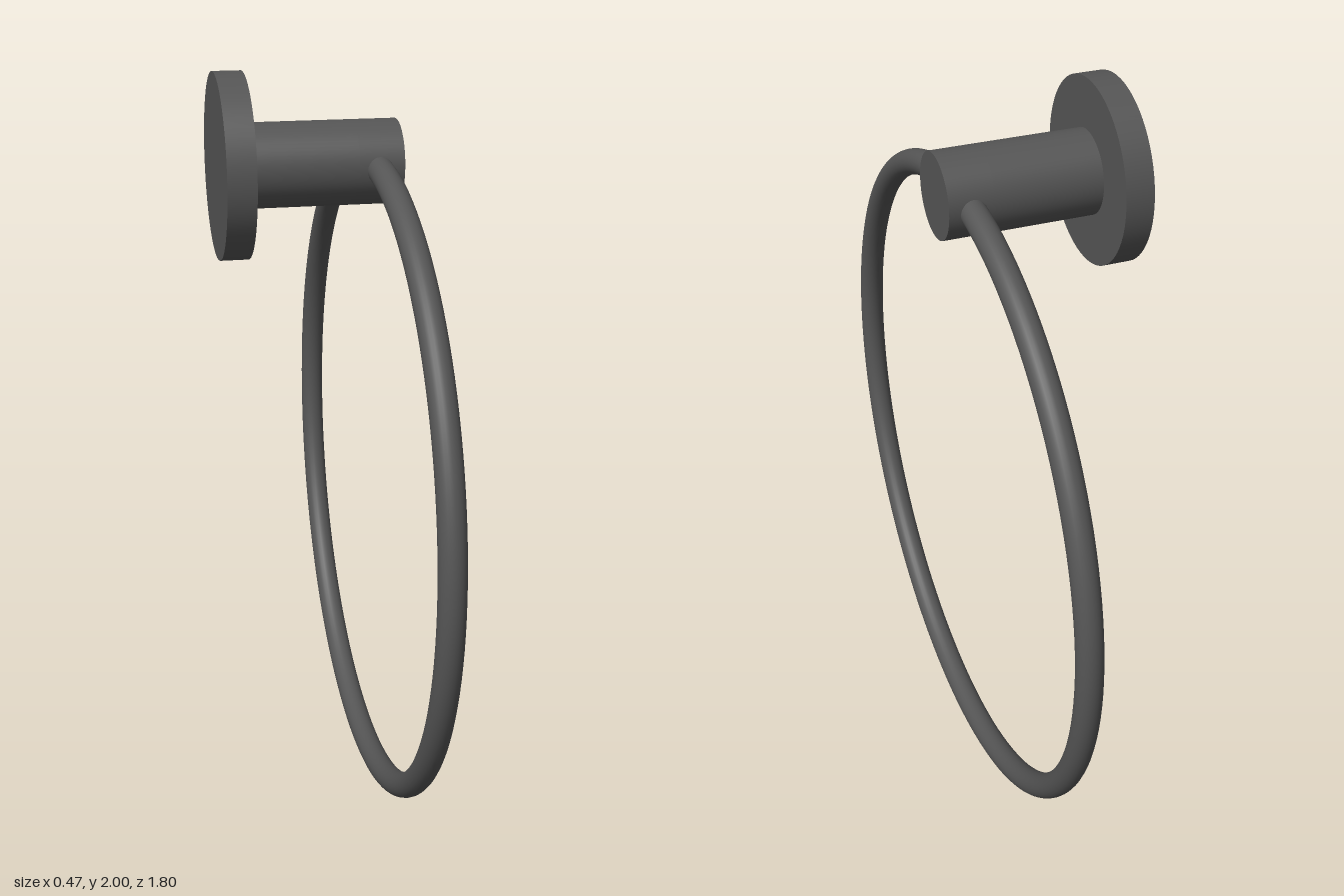
import * as THREE from 'three';

export function createModel() {
  const model = new THREE.Group();
  const metal = new THREE.MeshStandardMaterial({ color: 0x555555 });
  const axisY = 1.762, axisZ = -0.024;

  // Solid round part lying along x, between x0 and x1
  function roundPart(name, radius, x0, x1) {
    const geometry = new THREE.CylinderGeometry(radius, radius, x1 - x0, 64);
    geometry.rotateZ(-Math.PI / 2);
    const mesh = new THREE.Mesh(geometry, metal);
    mesh.name = name;
    mesh.position.set((x0 + x1) / 2, axisY, axisZ);
    model.add(mesh);
  }

  // Wall mount: plate, post and the end cap that grips the ring
  roundPart('wallPlate', 0.238, -0.237, -0.163);
  roundPart('post', 0.109, -0.163, 0.118);
  roundPart('endCap', 0.109, 0.118, 0.235);

  // Hanging ring, passing through the end cap
  const ring = new THREE.Mesh(new THREE.TorusGeometry(0.864, 0.034, 24, 128), metal);
  ring.name = 'towelRing';
  ring.rotation.y = Math.PI / 2;
  ring.position.set(0.172, 0.899, 0);
  model.add(ring);

  return model;
}
